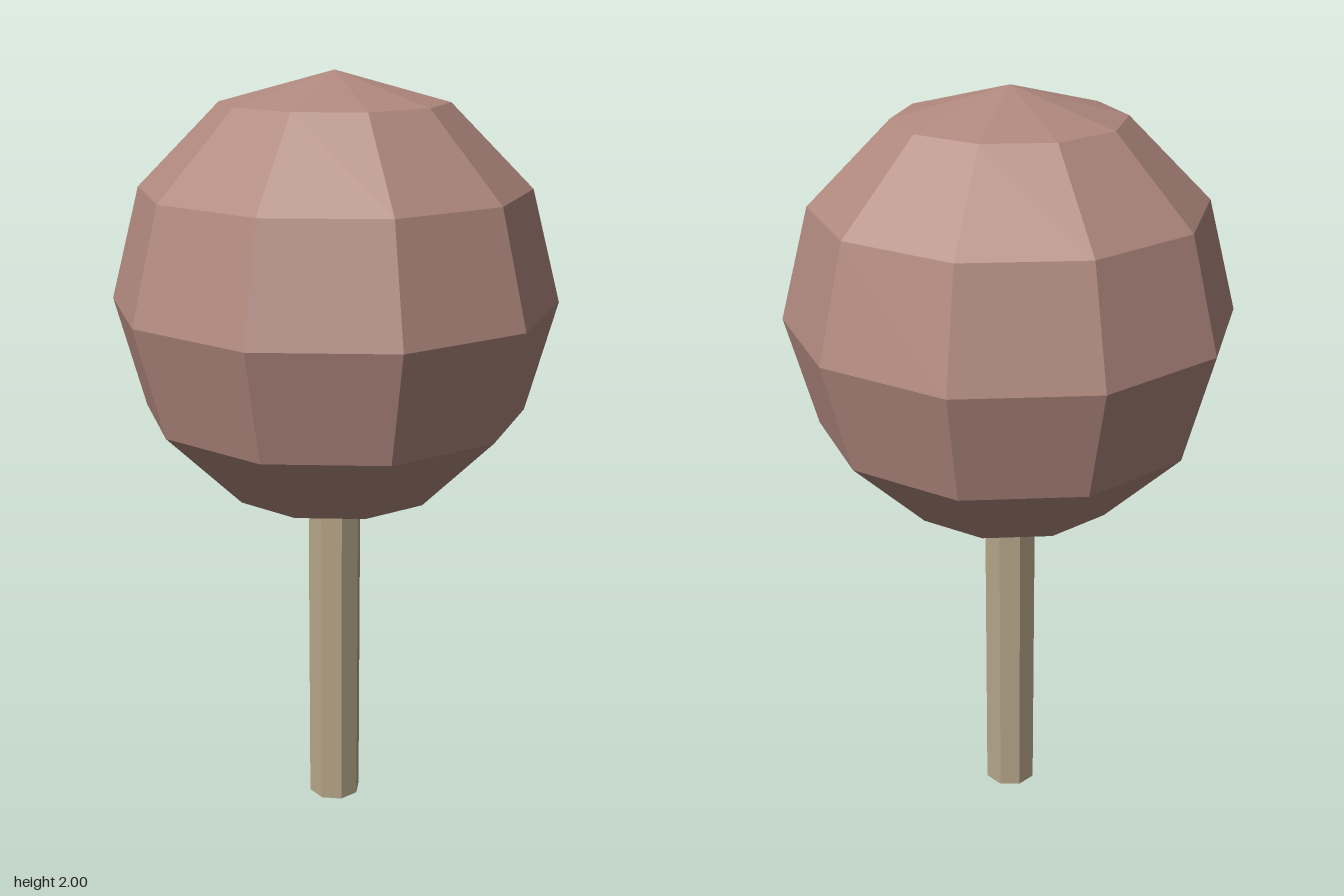
import * as THREE from 'three';

export function createModel() {
  const model = new THREE.Group();
  const crownColor = new THREE.MeshStandardMaterial({ color: 0xb0887e, flatShading: true });
  crownColor.name = 'dusty pink brown';
  const stemColor = new THREE.MeshStandardMaterial({ color: 0xb5a488, flatShading: true });
  stemColor.name = 'pale wood';

  // Faceted ball, turned so that corners point to the front and back
  const radius = 0.573;
  const crown = new THREE.Mesh(new THREE.SphereGeometry(radius, 10, 6), crownColor);
  crown.name = 'crown';
  crown.rotation.y = Math.PI / 2;
  crown.position.y = 2 - radius;
  model.add(crown);

  // Eight-sided stem, its top sunk into the ball
  const height = 0.95;
  const stem = new THREE.Mesh(new THREE.CylinderGeometry(0.072, 0.072, height, 8), stemColor);
  stem.name = 'stem';
  stem.position.y = height / 2;
  model.add(stem);

  return model;
}
